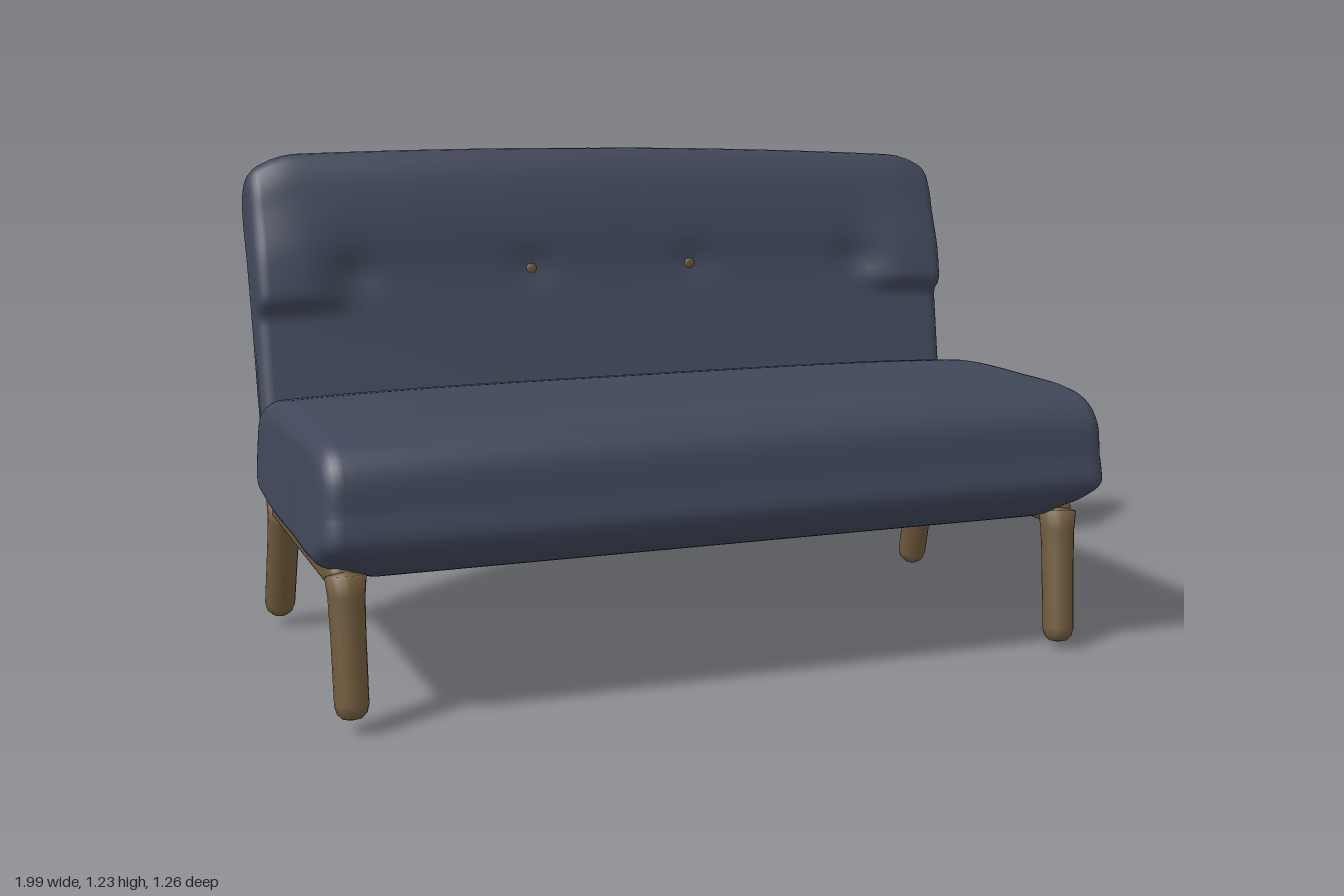
import * as THREE from 'three';
import { RoundedBoxGeometry } from 'three/addons/geometries/RoundedBoxGeometry.js';

const fabric = new THREE.MeshStandardMaterial({ color: 0x40475a });
fabric.name = 'navy fabric';
const wood = new THREE.MeshStandardMaterial({ color: 0x6e593b });
wood.name = 'brown wood';

const gauss = (d, w) => Math.exp(-(d * d) / (w * w));
const { smoothstep } = THREE.MathUtils;

// Cushion: a closed (z, y) profile swept along x with rounded ends, then bent by a rule
function cushion(profile, x0, x1, r, bend) {
  const n = 96, steps = 6, mid = 60;
  const curve = new THREE.CatmullRomCurve3(
    profile.map(([z, y]) => new THREE.Vector3(z, y, 0)), true, 'centripetal');
  const pts = curve.getSpacedPoints(n).slice(0, n);
  const inward = pts.map((p, i) => {
    const t = pts[(i + 1) % n].clone().sub(pts[(i + n - 1) % n]).normalize();
    return new THREE.Vector2(-t.y, t.x);
  });

  // each ring is [x, inset]; the inset falls from r at the tip to 0
  const tip = [];
  for (let k = 0; k < steps; k++) {
    const a = (k / steps) * Math.PI / 2;
    tip.push([x0 + r * (1 - Math.cos(a)), r * (1 - Math.sin(a))]);
  }
  const rings = [...tip];
  for (let k = 0; k <= mid; k++) rings.push([x0 + r + (x1 - x0 - 2 * r) * k / mid, 0]);
  rings.push(...tip.map(([x, inset]) => [x0 + x1 - x, inset]).reverse());

  const pos = [], index = [];
  for (const [x, inset] of rings) {
    pts.forEach((p, i) => {
      const v = new THREE.Vector3(x, p.y + inward[i].y * inset, p.x + inward[i].x * inset);
      bend(v);
      pos.push(v.x, v.y, v.z);
    });
  }
  for (let j = 0; j < rings.length - 1; j++) {
    for (let i = 0; i < n; i++) {
      const a = j * n + i, c = j * n + (i + 1) % n;
      index.push(a, a + n, c, c, a + n, c + n);
    }
  }
  // end caps
  const last = (rings.length - 1) * n;
  const outline = pts.map((p, i) => new THREE.Vector2(p.x, p.y).addScaledVector(inward[i], r));
  for (const [a, b, c] of THREE.ShapeUtils.triangulateShape(outline, [])) {
    index.push(a, b, c, last + a, last + c, last + b);
  }
  const g = new THREE.BufferGeometry();
  g.setAttribute('position', new THREE.Float32BufferAttribute(pos, 3));
  g.setIndex(index);
  g.computeVertexNormals();
  return g;
}

// Rail: rounded bar between two points
function rail(a, b, w, h) {
  const A = new THREE.Vector3(...a), B = new THREE.Vector3(...b);
  const m = new THREE.Mesh(new RoundedBoxGeometry(w, h, A.distanceTo(B), 4, 0.028), wood);
  m.position.copy(A).add(B).multiplyScalar(0.5);
  m.lookAt(B);
  return m;
}

// Leg: tapered round post with a rounded foot
function leg(foot, top) {
  const F = new THREE.Vector3(...foot), T = new THREE.Vector3(...top);
  const d = T.clone().sub(F), len = d.length();
  const profile = [[0, 0], [0.022, 0.004], [0.034, 0.016], [0.039, 0.035],
    [0.04, len * 0.6], [0.042, len * 0.85], [0.047, len], [0, len + 0.01]];
  const g = new THREE.LatheGeometry(profile.map(([x, y]) => new THREE.Vector2(x, y)), 18);
  const m = new THREE.Mesh(g, wood);
  m.position.copy(F);
  m.quaternion.setFromUnitVectors(new THREE.Vector3(0, 1, 0), d.normalize());
  return m;
}

export function createModel() {
  const sofa = new THREE.Group();
  sofa.name = 'sofa';
  const put = (mesh, name) => { mesh.name = name; sofa.add(mesh); };

  // Seat cushion, slightly skewed and crowned, lifted underneath along its sides
  const seat = cushion([
    [0.572, 0.425], [0.56, 0.5], [0.54, 0.6], [0.48, 0.652], [0.2, 0.665], [-0.1, 0.65],
    [-0.24, 0.61], [-0.27, 0.5], [-0.25, 0.37], [-0.1, 0.33], [0.2, 0.325], [0.46, 0.33], [0.53, 0.375],
  ], -0.998, 0.96, 0.05, (p) => {
    const side = smoothstep(Math.abs(p.x + 0.02), 0.84, 0.94);
    p.y += 0.025 * side * (1 - smoothstep(p.y, 0.33, 0.45));
    if (p.y > 0.5) p.y -= 0.015 * Math.pow(Math.abs(p.x), 4);
    p.z += 0.063 * p.x;
    if (p.x < 0) p.x += 0.06 * Math.max(0, p.y - 0.42);
  });
  put(new THREE.Mesh(seat, fabric), 'seatCushion');

  // Reclined backrest with side pillows, button dimples and rounded top corners
  const back = cushion([
    [-0.215, 0.42], [-0.25, 0.53], [-0.285, 0.65], [-0.325, 0.8], [-0.35, 0.91], [-0.36, 1.0],
    [-0.38, 1.09], [-0.41, 1.17], [-0.445, 1.212], [-0.49, 1.205], [-0.527, 1.165], [-0.541, 1.11],
    [-0.467, 0.91], [-0.375, 0.64], [-0.295, 0.41], [-0.255, 0.37],
  ], -0.965, 0.96, 0.035, (p) => {
    const ax = Math.abs(p.x);
    // 1 on the front face, fading to 0 through the thickness
    const front = smoothstep(p.z + 0.35 * (p.y - 0.9), -0.43, -0.36);
    const wing = front * smoothstep(ax, 0.68, 0.84);
    p.z += 0.036 * wing * smoothstep(p.y, 0.81, 0.86) * (1 - smoothstep(p.y, 0.88, 1.12));
    for (const x of [0.22, 0.7]) p.z -= 0.012 * front * gauss(ax - x, 0.05) * gauss(p.y - 0.91, 0.045);
    p.z += 0.093 * p.x;
    const high = smoothstep(p.y, 0.7, 1.2);
    p.y += high * (0.014 - 0.018 * p.x - 0.025 * p.x * p.x - 0.05 * Math.pow(smoothstep(ax, 0.82, 1), 1.5));
    p.x += 0.07 * Math.max(0, p.y - 0.6) * (p.x > 0 ? 1 : 0.3);
  });
  put(new THREE.Mesh(back, fabric), 'backrest');

  // Buttons on both faces of the backrest
  const button = (x, z, name) => {
    const m = new THREE.Mesh(new THREE.SphereGeometry(0.015, 14, 10), wood);
    m.scale.z = 0.4;
    m.position.set(x, 0.91, z + 0.093 * x);
    put(m, name);
  };
  for (const x of [-0.22, 0.23]) button(x, -0.361, 'frontButton');
  for (const x of [-0.7, -0.24, 0.22]) button(x, -0.467, 'rearButton');

  // Wooden frame
  put(rail([-0.93, 0.338, 0.43], [-0.93, 0.338, -0.32], 0.075, 0.07), 'rightSideRail');
  put(rail([0.895, 0.335, 0.53], [0.895, 0.335, -0.19], 0.075, 0.07), 'leftSideRail');
  put(rail([-0.965, 0.355, -0.31], [0.935, 0.35, -0.175], 0.11, 0.075), 'rearRail');

  // Splayed legs
  put(leg([0.855, 0.015, 0.59], [0.885, 0.34, 0.52]), 'frontLeftLeg');
  put(leg([-0.94, 0.03, 0.49], [-0.93, 0.345, 0.42]), 'frontRightLeg');
  put(leg([0.912, 0, -0.25], [0.9, 0.345, -0.165]), 'backLeftLeg');
  put(leg([-0.94, 0.025, -0.368], [-0.93, 0.35, -0.28]), 'backRightLeg');

  return sofa;
}
